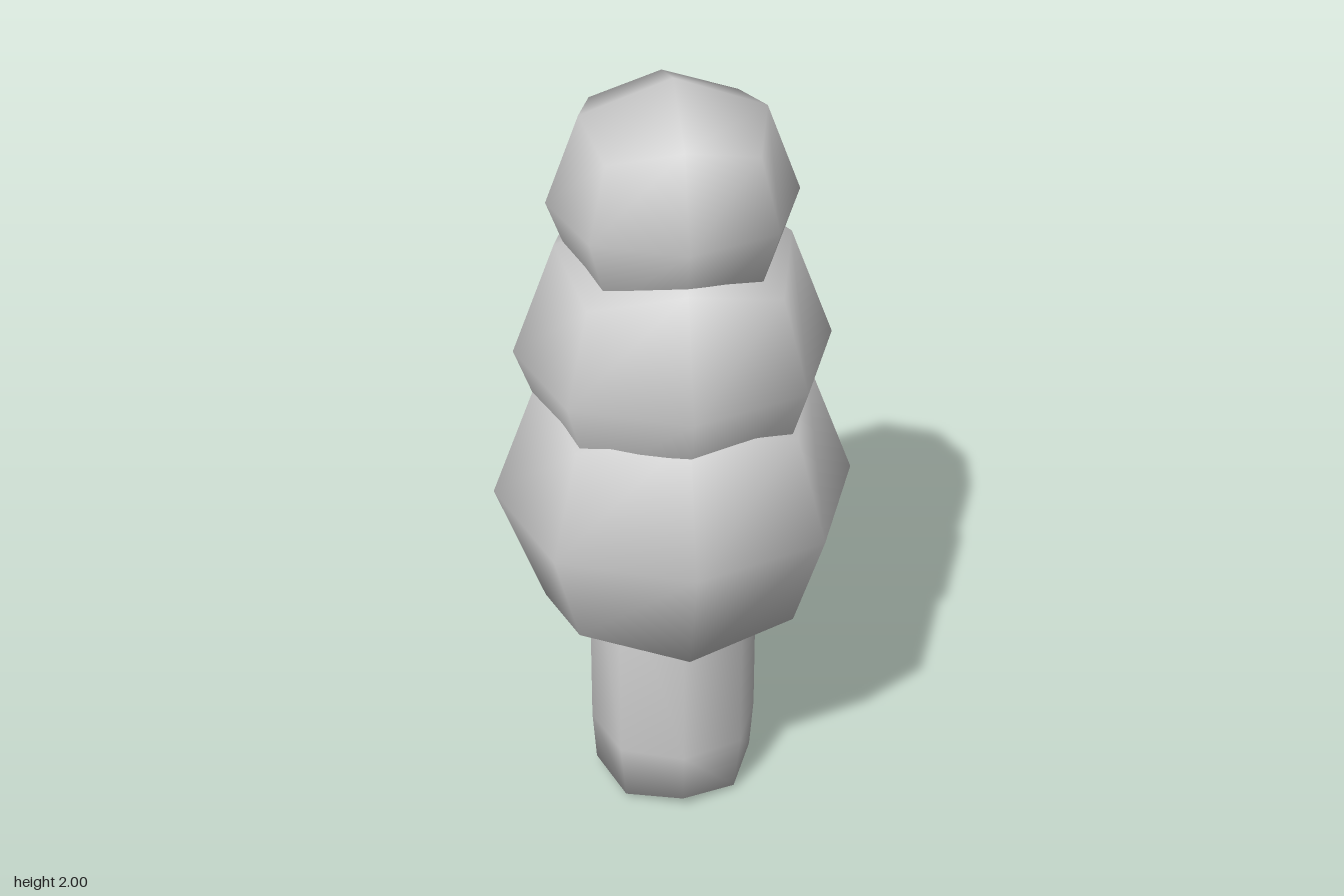
import * as THREE from 'three';
import { mergeVertices } from 'three/addons/utils/BufferGeometryUtils.js';

const material = new THREE.MeshStandardMaterial({ color: 0xcccccc });

// Weld all corners and shade the whole surface smoothly.
function smooth(geometry) {
  geometry.deleteAttribute('uv');
  geometry.deleteAttribute('normal');
  const welded = mergeVertices(geometry, 1e-4);
  welded.computeVertexNormals();
  return welded;
}

// A cube split once per side and rounded into a chunky ball.
function ballGeometry(radius) {
  const geometry = new THREE.BoxGeometry(2, 2, 2, 2, 2, 2);
  const p = geometry.attributes.position;
  const scaleByKind = [0, 1, 0.73, 0.592]; // face centre, edge middle, corner
  for (let i = 0; i < p.count; i++) {
    const v = new THREE.Vector3().fromBufferAttribute(p, i).round();
    const kind = Math.abs(v.x) + Math.abs(v.y) + Math.abs(v.z);
    v.multiplyScalar(radius * scaleByKind[kind]);
    p.setXYZ(i, v.x, v.y, v.z);
  }
  return smooth(geometry);
}

// Eight-sided trunk with a softened, slightly wavy foot.
function trunkGeometry() {
  const profile = [[0, 0], [0.07, 0.002], [0.205, 0.03], [0.215, 0.17], [0.215, 0.8], [0, 0.8]]
    .map(([r, y]) => new THREE.Vector2(r, y));
  const geometry = new THREE.LatheGeometry(profile, 8);
  const p = geometry.attributes.position;
  for (let i = 0; i < p.count; i++) {
    const x = p.getX(i), y = p.getY(i), z = p.getZ(i);
    const diagonal = Math.abs(x) > 0.01 && Math.abs(z) > 0.01;
    if (!diagonal) continue;
    const foot = Math.abs(y - 0.03) < 1e-4;
    const k = foot ? 0.985 : 1.03;
    p.setXYZ(i, x * k, foot ? 0.01 : y, z * k);
  }
  return smooth(geometry);
}

export function createModel() {
  const group = new THREE.Group();
  group.name = 'tree';

  const trunk = new THREE.Mesh(trunkGeometry(), material);
  trunk.name = 'trunk';
  group.add(trunk);

  // Stacked foliage, shrinking upward
  const foliage = [
    ['lowerFoliage', 0.45, 0.9],
    ['middleFoliage', 0.39, 1.3],
    ['upperFoliage', 0.302, 1.698],
  ];
  for (const [name, radius, y] of foliage) {
    const ball = new THREE.Mesh(ballGeometry(radius), material);
    ball.name = name;
    ball.position.y = y;
    group.add(ball);
  }
  return group;
}
